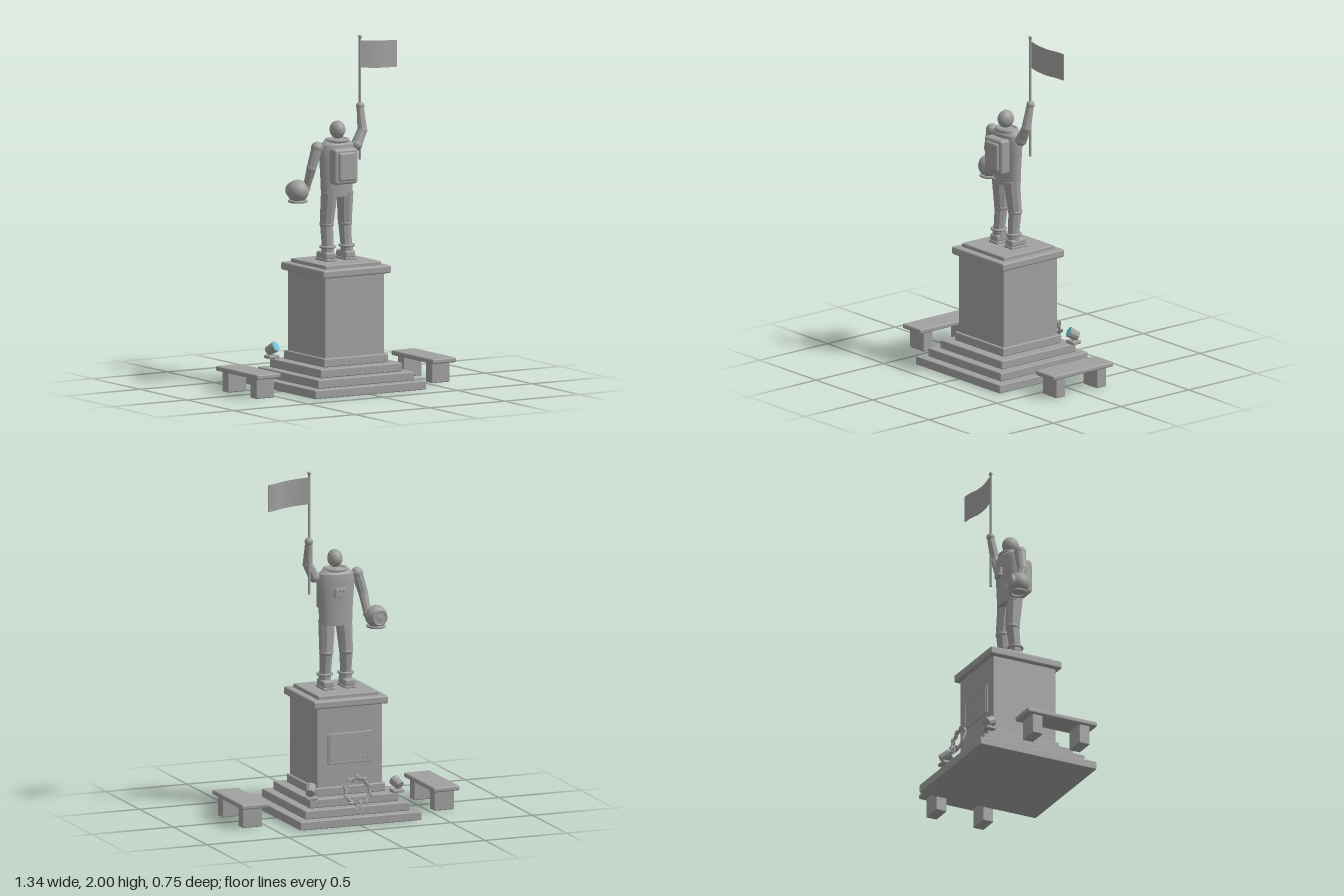
import * as THREE from 'three';
import { toCreasedNormals } from 'three/addons/utils/BufferGeometryUtils.js';
import { RoundedBoxGeometry } from 'three/addons/geometries/RoundedBoxGeometry.js';

const stone = new THREE.MeshStandardMaterial({ color: 0xa0a0a0 });
stone.name = 'stone grey';
const glass = new THREE.MeshStandardMaterial({ color: 0x66ccd8 });
glass.name = 'lamp cyan';

const V = (x, y, z) => new THREE.Vector3(x, y, z);
const UP = V(0, 1, 0);

function add(parent, name, geo, pos = [0, 0, 0], mat = stone) {
  const m = new THREE.Mesh(geo, mat);
  m.name = name;
  m.position.set(...pos);
  parent.add(m);
  return m;
}

function group(parent, name, pos = [0, 0, 0]) {
  const g = new THREE.Group();
  g.name = name;
  g.position.set(...pos);
  parent.add(g);
  return g;
}

// Box with softened edges, placed by its centre in x, z and its bottom and top in y
function block(parent, name, w, y0, y1, d, x = 0, z = 0, r = 0.006) {
  return add(parent, name, new RoundedBoxGeometry(w, y1 - y0, d, 2, r), [x, (y0 + y1) / 2, z]);
}

// Faceted tapered limb between two points
function limb(parent, name, a, b, ra, rb, sides = 9) {
  const geo = toCreasedNormals(new THREE.CylinderGeometry(rb, ra, a.distanceTo(b), sides), 0.4);
  const m = add(parent, name, geo, a.clone().add(b).multiplyScalar(0.5).toArray());
  m.quaternion.setFromUnitVectors(UP, b.clone().sub(a).normalize());
  return m;
}

function ball(parent, name, r, pos) {
  return add(parent, name, new THREE.SphereGeometry(r, 20, 14), pos);
}

function ring(parent, name, r, t, pos) {
  const m = add(parent, name, new THREE.TorusGeometry(r, t, 8, 24), pos);
  m.rotation.x = Math.PI / 2;
  return m;
}

function buildPedestal(root) {
  const g = group(root, 'pedestal');
  [[0.745, 0, 0.05], [0.645, 0.05, 0.1], [0.547, 0.1, 0.15]].forEach(([w, a, b], i) =>
    block(g, 'step' + (i + 1), w, a, b, w));
  block(g, 'plinth', 0.43, 0.15, 0.2, 0.43);
  block(g, 'shaft', 0.4, 0.195, 0.665, 0.4);
  block(g, 'cornice', 0.456, 0.66, 0.706, 0.456, 0, 0, 0.01);
  block(g, 'cap', 0.372, 0.7, 0.728, 0.372);

  // Blank plaque with a raised border, bolts and a dividing bar
  const p = group(g, 'plaque', [0, 0.418, -0.2]);
  add(p, 'plaquePlate', new RoundedBoxGeometry(0.27, 0.18, 0.014, 2, 0.004));
  for (const s of [-1, 1]) {
    add(p, 'plaqueBorder', new THREE.BoxGeometry(0.25, 0.006, 0.006), [0, s * 0.078, -0.007]);
    add(p, 'plaqueBorder', new THREE.BoxGeometry(0.006, 0.15, 0.006), [s * 0.122, 0, -0.007]);
    for (const t of [-1, 1]) ball(p, 'bolt', 0.006, [s * 0.11, t * 0.065, -0.008]);
  }
  add(p, 'plaqueBar', new THREE.BoxGeometry(0.17, 0.004, 0.005), [0, -0.045, -0.007]);
}

function buildBench(root, s) {
  const g = group(root, s > 0 ? 'leftBench' : 'rightBench', [s * 0.588, 0, 0]);
  block(g, 'benchSeat', 0.16, 0.115, 0.143, 0.445, 0, 0, 0.008);
  for (const z of [-0.15, 0.15]) block(g, 'benchLeg', 0.122, 0, 0.118, 0.068, 0, z);
}

function buildSpotlight(root, s) {
  const g = group(root, s > 0 ? 'leftSpotlight' : 'rightSpotlight', [s * 0.265, 0.15, -0.262]);
  block(g, 'lampFoot', 0.07, 0, 0.02, 0.06);
  add(g, 'lampStem', new THREE.CylinderGeometry(0.01, 0.01, 0.04, 8), [0, 0.03, 0]);
  const head = group(g, 'lampHead', [0, 0.055, 0]);
  head.quaternion.setFromUnitVectors(UP, V(-s * 0.4, 0.5, 0.8).normalize());
  add(head, 'lampBody', toCreasedNormals(new THREE.CylinderGeometry(0.032, 0.026, 0.06, 10), 0.4));
  add(head, 'lampLens', new THREE.CylinderGeometry(0.027, 0.027, 0.005, 16), [0, 0.031, 0], glass);
}

function buildWreath(root) {
  const g = group(root, 'wreath', [0, 0.19, -0.317]);
  g.rotation.x = 0.24;
  add(g, 'wreathRing', new THREE.TorusGeometry(0.074, 0.009, 8, 28));
  const leafGeo = new THREE.SphereGeometry(1, 7, 5).scale(0.008, 0.019, 0.006);
  for (let i = 0; i < 20; i++) {
    const a = (i / 20) * Math.PI * 2, r = 0.074 + (i % 2 ? 0.009 : -0.007);
    const leaf = add(g, 'leaf', leafGeo, [Math.cos(a) * r, Math.sin(a) * r, i % 2 ? -0.007 : 0.005]);
    leaf.rotation.z = a + (i % 2 ? -0.5 : 0.5);
  }
  // Bow and two ribbon tails
  ball(g, 'bowKnot', 0.01, [0, -0.066, -0.012]);
  for (const s of [-1, 1]) {
    const loop = add(g, 'bowLoop', new THREE.TorusGeometry(0.012, 0.004, 6, 12), [s * 0.016, -0.06, -0.012]);
    loop.scale.y = 0.7;
    const tail = add(g, 'ribbonTail', new THREE.BoxGeometry(0.014, 0.05, 0.004), [s * 0.012, -0.085, -0.014]);
    tail.rotation.z = s * 0.3;
  }
}

function buildLeg(fig, s) {
  const g = group(fig, s > 0 ? 'leftLeg' : 'rightLeg');
  const knee = V(s * 0.061, 0.935, -0.002);
  limb(g, 'thigh', V(s * 0.052, 1.12, 0.014), knee, 0.049, 0.04);
  limb(g, 'shin', knee, V(s * 0.063, 0.8, 0.012), 0.038, 0.033);
  ball(g, 'knee', 0.041, knee.toArray()).scale.y = 0.6;
  limb(g, 'bootShaft', V(s * 0.064, 0.76, 0.014), V(s * 0.064, 0.81, 0.013), 0.036, 0.037);
  ring(g, 'bootCuff', 0.04, 0.008, [s * 0.064, 0.808, 0.013]);
  block(g, 'boot', 0.068, 0.738, 0.78, 0.11, s * 0.066, -0.002, 0.012);
  block(g, 'bootSole', 0.072, 0.727, 0.742, 0.116, s * 0.066, -0.002, 0.004);
}

function buildArm(fig, name, shoulder, elbow, wrist) {
  const g = group(fig, name);
  ball(g, 'shoulder', 0.034, shoulder.toArray());
  limb(g, 'upperArm', shoulder, elbow, 0.033, 0.028);
  ball(g, 'elbow', 0.028, elbow.toArray());
  limb(g, 'forearm', elbow, wrist, 0.028, 0.021);
  ball(g, 'hand', 0.024, wrist.toArray());
}

function buildFigure(root) {
  const fig = group(root, 'figure');
  for (const s of [-1, 1]) buildLeg(fig, s);

  // Torso: a turned profile flattened front to back
  const profile = [[0, 1.095], [0.099, 1.095], [0.101, 1.17], [0.108, 1.28], [0.113, 1.35], [0.106, 1.392],
    [0.072, 1.418], [0, 1.42]].map(([r, y]) => new THREE.Vector2(r, y));
  const torso = add(fig, 'torso', toCreasedNormals(new THREE.LatheGeometry(profile, 24), 0.6), [0, 0, 0.006]);
  torso.scale.z = 0.57;
  ring(fig, 'neckRing', 0.062, 0.012, [0, 1.414, 0.01]).scale.y = 0.85;
  ball(fig, 'head', 0.043, [0, 1.475, 0.016]).scale.set(1, 1.2, 1.16);

  // Backpack with a raised, bevelled back
  block(fig, 'backpack', 0.156, 1.172, 1.376, 0.07, 0, 0.08, 0.016);
  block(fig, 'backpackPanel', 0.112, 1.192, 1.356, 0.03, 0, 0.115, 0.012);

  // Chest control box with knobs
  block(fig, 'chestBox', 0.068, 1.262, 1.315, 0.026, 0, -0.056, 0.004);
  add(fig, 'chestScreen', new THREE.BoxGeometry(0.05, 0.014, 0.006), [0, 1.277, -0.07]);
  for (const x of [-0.02, 0, 0.02]) ball(fig, 'knob', 0.006, [x, 1.3, -0.07]);

  buildArm(fig, 'leftArm', V(0.13, 1.378, 0.012), V(0.172, 1.457, 0.008), V(0.175, 1.593, -0.02));
  buildArm(fig, 'rightArm', V(-0.132, 1.38, 0.008), V(-0.167, 1.262, 0.002), V(-0.178, 1.145, -0.035));

  // Helmet held in the lowered hand, visor facing forward (-z)
  const h = group(fig, 'helmet', [-0.225, 1.132, -0.05]);
  ball(h, 'helmetShell', 0.064, [0, 0, 0]);
  ring(h, 'helmetCollar', 0.048, 0.008, [0, -0.058, 0]);
  const visor = add(h, 'visor', new THREE.CylinderGeometry(0.044, 0.046, 0.025, 20), [0, 0, -0.048]);
  visor.rotation.x = -Math.PI / 2;
  add(h, 'visorRim', new THREE.TorusGeometry(0.041, 0.005, 6, 20), [0, 0, -0.06]);
}

function buildFlag(root) {
  const g = group(root, 'flag');
  const x = 0.173, z = -0.02;
  add(g, 'flagPole', new THREE.CylinderGeometry(0.007, 0.007, 0.7, 10), [x, 1.635, z]);
  ball(g, 'finial', 0.011, [x, 1.989, z]);
  // Waving cloth: a thin box bent along a curve, sagging toward its free end
  const wave = new THREE.CatmullRomCurve3([V(x, 0, -0.026), V(0.25, -0.006, -0.016), V(0.33, -0.012, -0.021),
    V(0.385, -0.016, -0.04), V(0.436, -0.02, -0.048)]);
  const geo = new THREE.BoxGeometry(1, 0.155, 0.006, 20, 1, 1);
  const p = geo.attributes.position;
  for (let i = 0; i < p.count; i++) {
    const c = wave.getPoint(p.getX(i) + 0.5);
    p.setXYZ(i, c.x, 1.889 + p.getY(i) + c.y, c.z + p.getZ(i));
  }
  geo.computeVertexNormals();
  add(g, 'flagCloth', geo);
}

export function createModel() {
  const root = new THREE.Group();
  root.name = 'statue';
  buildPedestal(root);
  for (const s of [-1, 1]) {
    buildBench(root, s);
    buildSpotlight(root, s);
  }
  buildWreath(root);
  buildFigure(root);
  buildFlag(root);
  return root;
}
